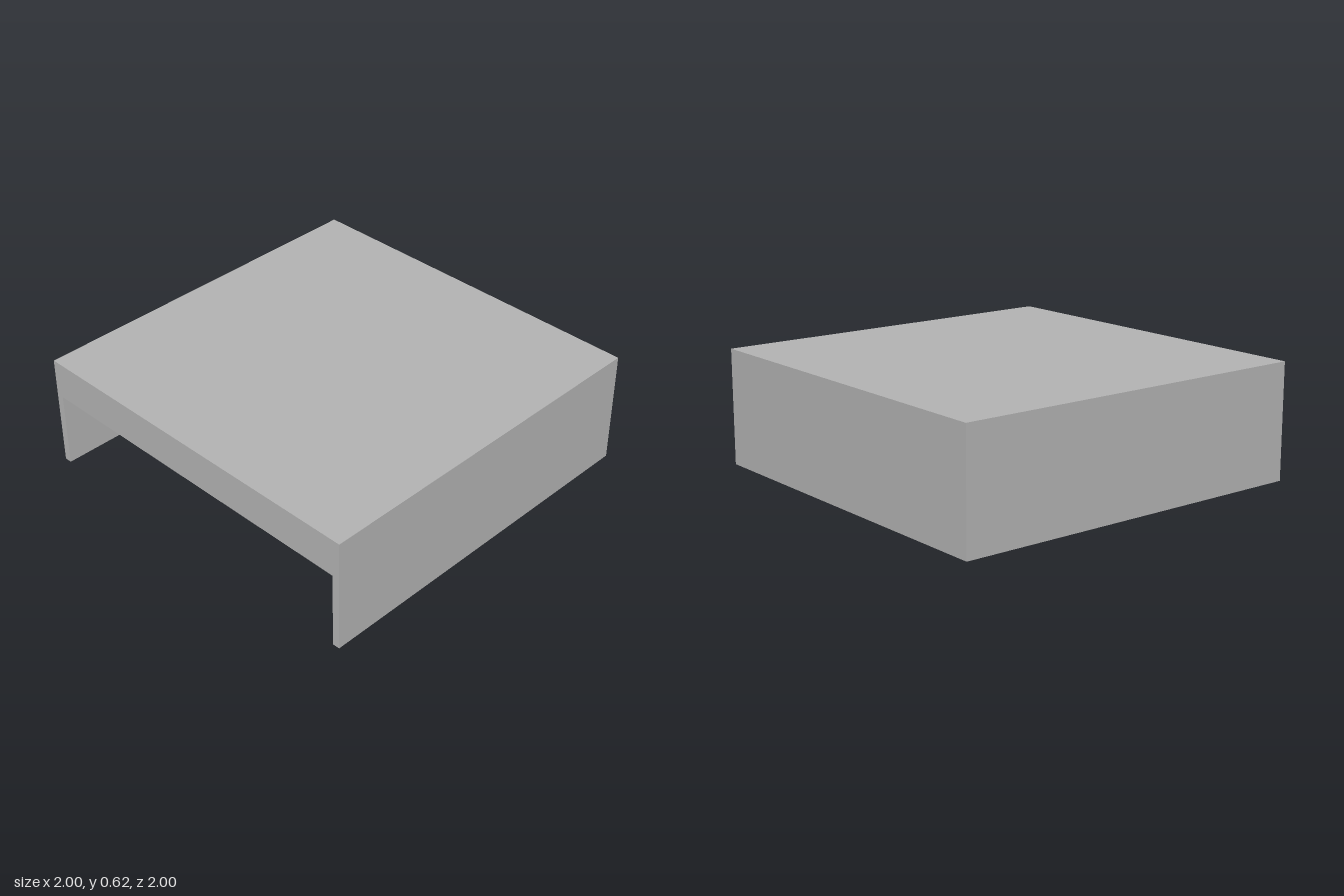
import * as THREE from 'three';

export function createModel() {
  const model = new THREE.Group();
  const grey = new THREE.MeshStandardMaterial({ color: 0xb2b2b2 });
  grey.name = 'plain grey';

  const height = 0.62, t = 0.04, half = 1;
  const wallTop = height - t;   // underside of the top panel
  const apronBottom = 0.415;    // upper edge of the front opening

  // Box given by its lower and upper corners
  function panel(name, [x0, y0, z0], [x1, y1, z1]) {
    const mesh = new THREE.Mesh(new THREE.BoxGeometry(x1 - x0, y1 - y0, z1 - z0), grey);
    mesh.name = name;
    mesh.position.set((x0 + x1) / 2, (y0 + y1) / 2, (z0 + z1) / 2);
    model.add(mesh);
  }

  const inner = half - t;
  panel('topPanel', [-half, wallTop, -half], [half, height, half]);
  panel('leftWall', [inner, 0, -half], [half, wallTop, half]);
  panel('rightWall', [-half, 0, -half], [-inner, wallTop, half]);
  panel('backWall', [-inner, 0, -half], [inner, wallTop, -inner]);
  // Short board above the front opening
  panel('frontApron', [-inner, apronBottom, inner], [inner, wallTop, half]);

  return model;
}
